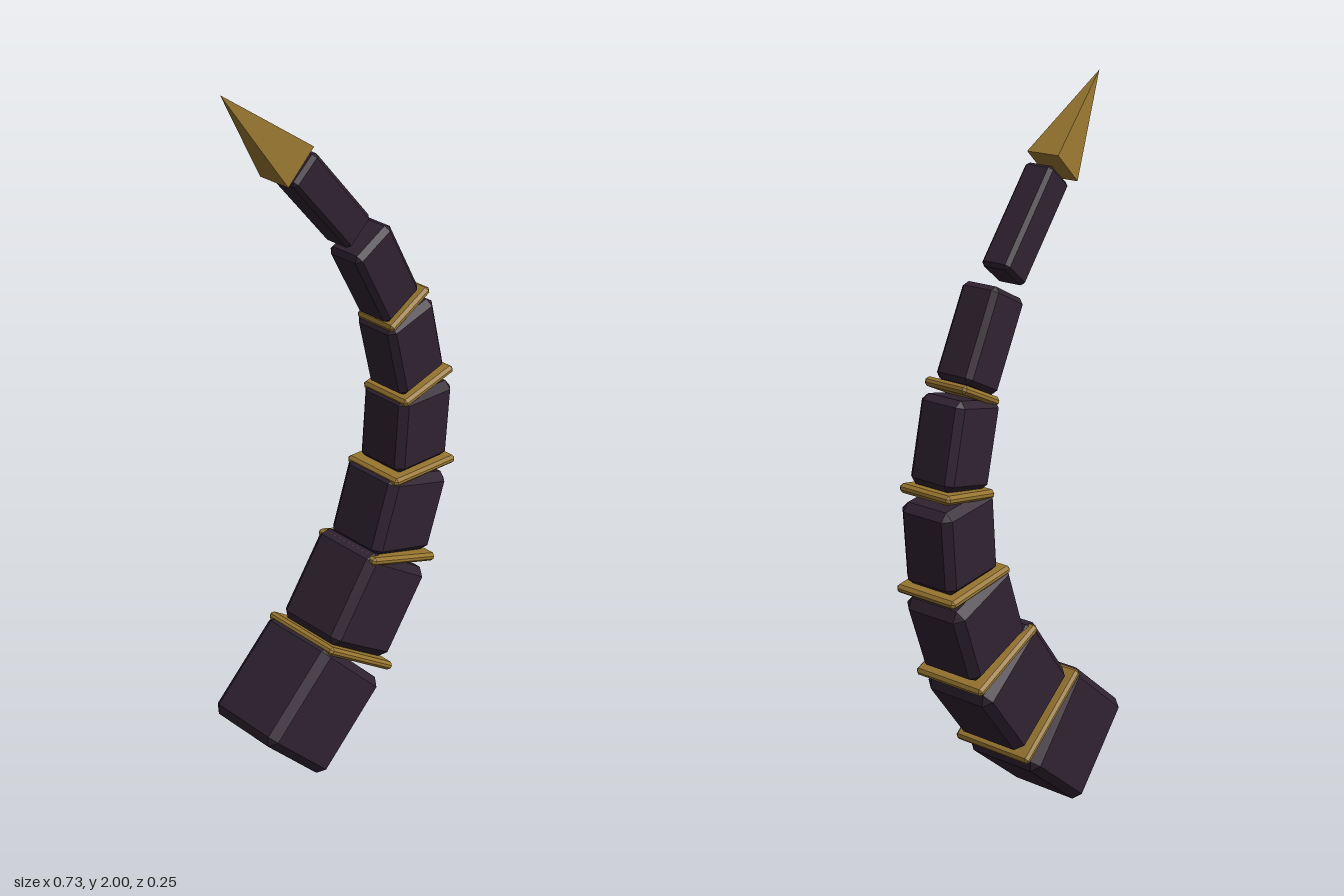
import * as THREE from 'three';
import { ConvexGeometry } from 'three/addons/geometries/ConvexGeometry.js';

// Box with flat chamfers on every edge and corner
function chamferBox(w, h, d, c) {
  const points = [];
  for (const sx of [-1, 1]) for (const sy of [-1, 1]) for (const sz of [-1, 1]) {
    const x = w / 2, y = h / 2, z = d / 2;
    points.push(
      new THREE.Vector3(sx * x, sy * (y - c), sz * (z - c)),
      new THREE.Vector3(sx * (x - c), sy * y, sz * (z - c)),
      new THREE.Vector3(sx * (x - c), sy * (y - c), sz * z));
  }
  return new ConvexGeometry(points);
}

export function createModel() {
  const model = new THREE.Group();
  model.name = 'segmentedTail';
  const hide = new THREE.MeshStandardMaterial({ color: 0x2f2230 });
  hide.name = 'dark plum';
  const gold = new THREE.MeshStandardMaterial({ color: 0x97752f });
  gold.name = 'dull gold';

  // Places a part with its local y axis at the given angle from +x
  function add(name, geometry, material, x, y, angle) {
    const mesh = new THREE.Mesh(geometry, material);
    mesh.name = name;
    mesh.position.set(x, y, 0);
    mesh.rotation.z = THREE.MathUtils.degToRad(angle - 90);
    model.add(mesh);
  }

  // Tail segments: x, y, axis angle, width, length, depth
  const segments = [
    [-0.155, 0.207, 42, 0.31, 0.31, 0.24],
    [0.065, 0.442, 54, 0.27, 0.275, 0.215],
    [0.198, 0.675, 71, 0.235, 0.235, 0.188],
    [0.26, 0.918, 86, 0.2, 0.228, 0.16],
    [0.235, 1.165, 104, 0.17, 0.228, 0.136],
    [0.132, 1.407, 118, 0.137, 0.25, 0.112],
    [-0.053, 1.659, 130, 0.1, 0.295, 0.086],
  ];
  segments.forEach(([x, y, angle, w, l, d], i) =>
    add(`segment${i + 1}`, chamferBox(w, l, d, 0.1 * Math.min(w, 0.22)), hide, x, y, angle));

  // Thin bands between the segments: x, y, axis angle, width, depth
  const bands = [
    [-0.025, 0.324, 53, 0.3, 0.246],
    [0.153, 0.56, 68, 0.265, 0.218],
    [0.246, 0.797, 85, 0.238, 0.188],
    [0.267, 1.044, 102, 0.192, 0.16],
    [0.204, 1.288, 117, 0.158, 0.13],
  ];
  bands.forEach(([x, y, angle, w, d], i) =>
    add(`band${i + 1}`, chamferBox(w, 0.024, d, 0.008), gold, x, y, angle));

  // Four-sided stinger
  const stinger = new THREE.ConeGeometry(Math.SQRT1_2, 1, 4).toNonIndexed();
  stinger.rotateY(Math.PI / 4);
  stinger.scale(0.115, 0.294, 0.096);
  stinger.computeVertexNormals();
  add('stinger', stinger, gold, -0.267, 1.892, 133);

  return model;
}
